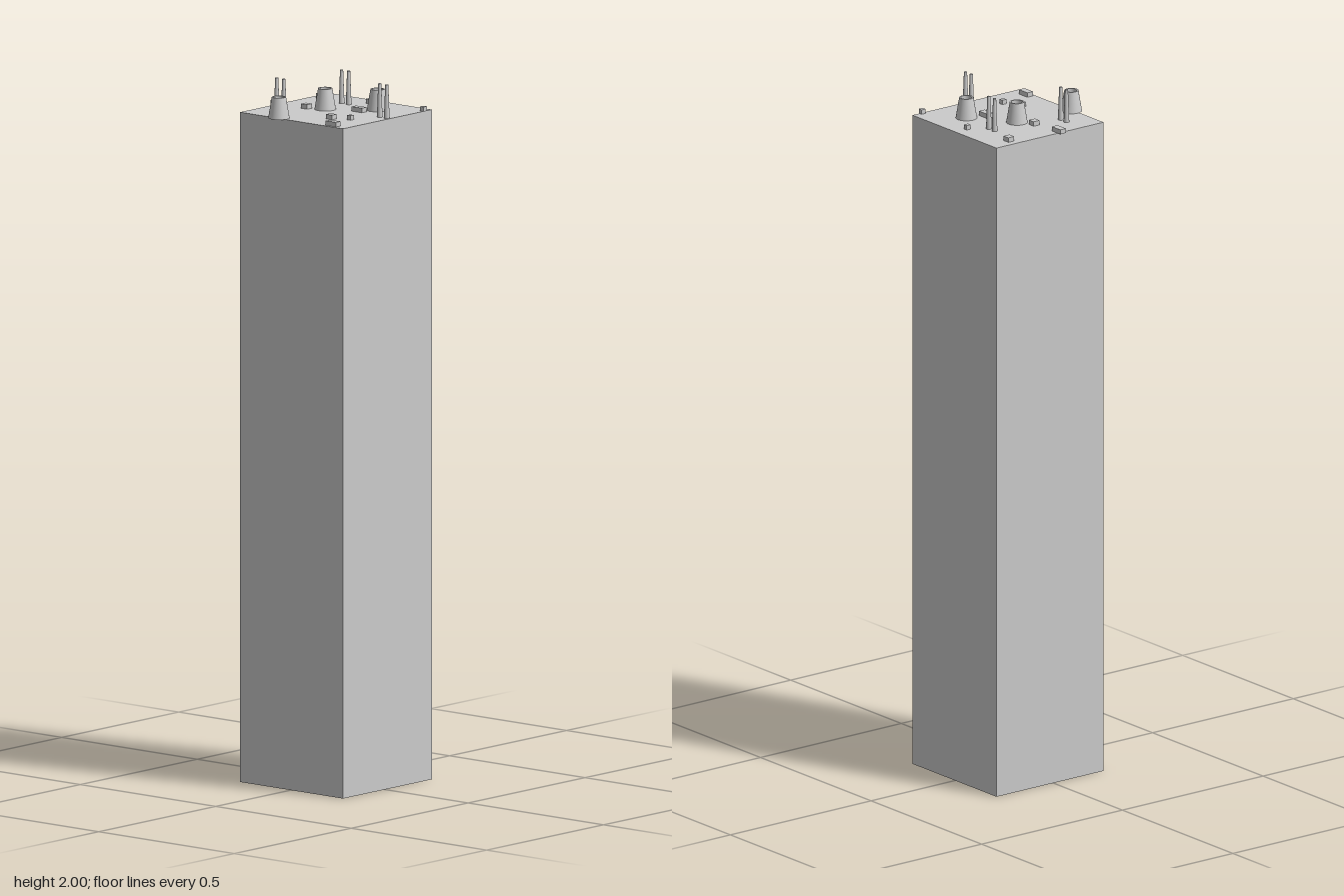
import * as THREE from 'three';

export function createModel() {
  const model = new THREE.Group();
  const grey = new THREE.MeshStandardMaterial({ color: 0xcccccc });
  const roofY = 1.905;

  function add(name, geometry, x, y, z) {
    const mesh = new THREE.Mesh(geometry, grey);
    mesh.name = name;
    mesh.position.set(x, y, z);
    model.add(mesh);
  }

  // Plain square tower
  add('tower', new THREE.BoxGeometry(0.38, roofY, 0.38), 0.0115, roofY / 2, 0.0025);

  // Hollow tapered chimneys: outer wall, flat rim, inner wall (separate strips keep the edges sharp)
  const walls = [
    ['chimneyWall', [0.03, 0], [0.02, 0.06]],
    ['chimneyRim', [0.02, 0.06], [0.0155, 0.06]],
    ['chimneyBore', [0.0155, 0.06], [0.0155, 0]],
    ['chimneyFoot', [0.0155, 0], [0.03, 0]],
  ];
  for (const [x, z] of [[-0.173, -0.049], [0.011, -0.037], [0.097, 0.082]]) {
    for (const [name, a, b] of walls) {
      const profile = [new THREE.Vector2(...a), new THREE.Vector2(...b)];
      add(name, new THREE.LatheGeometry(profile, 32), x, roofY, z);
    }
  }

  // Pairs of slim tapered antennas
  const mast = new THREE.CylinderGeometry(0.0045, 0.008, 2 - roofY, 16);
  for (const [x, z] of [[-0.1, -0.107], [0.109, -0.048], [0.023, 0.167]]) {
    for (const side of [-1, 1]) {
      add('antenna', mast, x, (roofY + 2) / 2, z + side * 0.013);
    }
  }

  // Low roof boxes: x, z, width, depth
  const boxes = [
    [-0.026, -0.18, 0.02, 0.038], [0.047, 0.057, 0.02, 0.038], [-0.161, 0.141, 0.02, 0.038],
    [0.133, -0.156, 0.021, 0.022], [-0.013, -0.085, 0.021, 0.022], [-0.087, 0.07, 0.021, 0.022],
    [0.159, -0.001, 0.014, 0.013], [-0.062, 0.119, 0.014, 0.013], [0.17, 0.189, 0.014, 0.013],
  ];
  const boxHeight = 0.013;
  for (const [x, z, w, d] of boxes) {
    add('roofBox', new THREE.BoxGeometry(w, boxHeight, d), x, roofY + boxHeight / 2, z);
  }

  return model;
}
